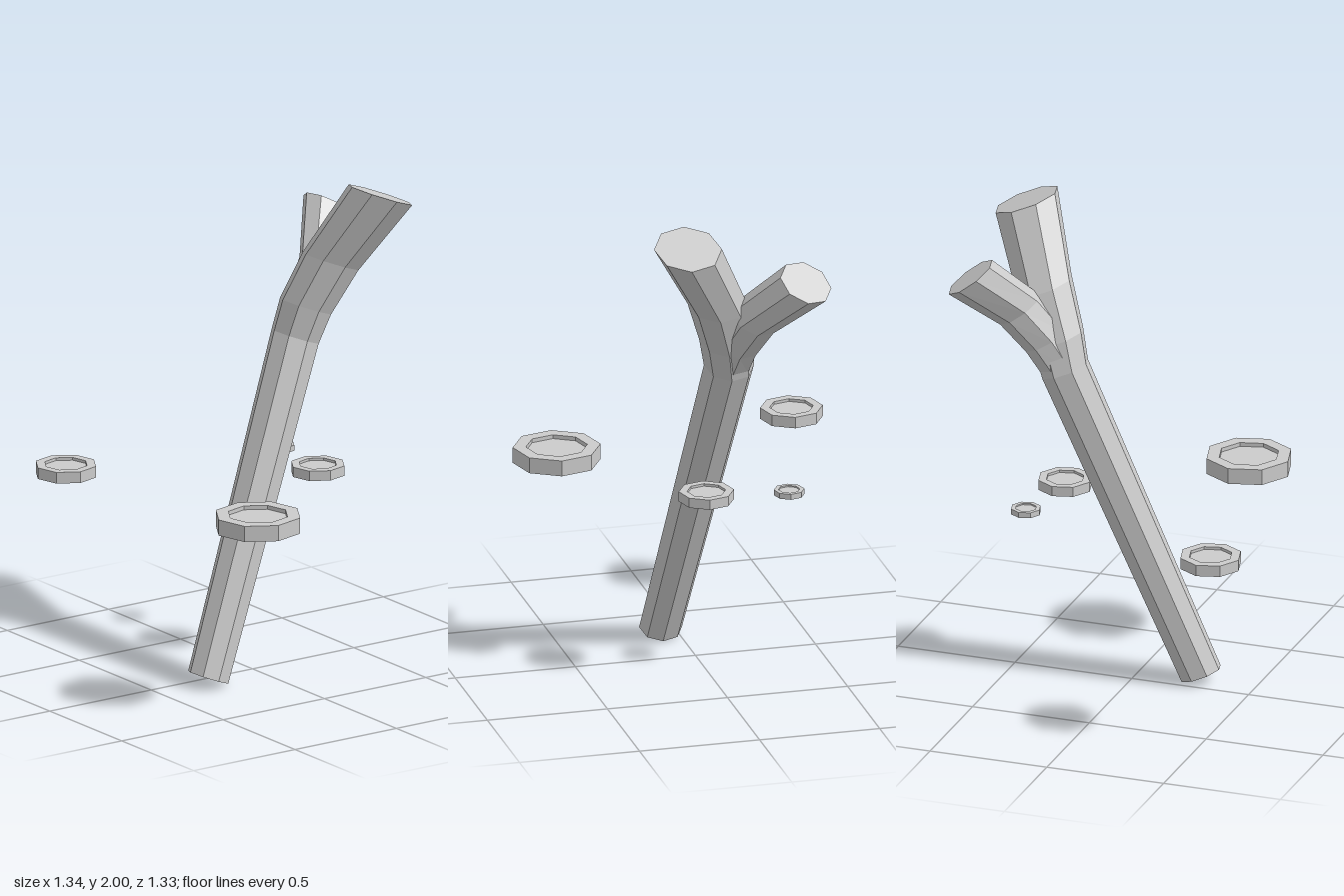
import * as THREE from 'three';

const SIDES = 8;
const TURN = THREE.MathUtils.degToRad(7);
const material = new THREE.MeshStandardMaterial({ color: 0xcccccc, flatShading: true });

// Closed octagonal loft. Each ring: [x, y, z, radius, slopeX, slopeZ];
// slopes are how fast the ring's plane rises along x and z.
function loft(rings, name) {
  const pos = [];
  const index = [];
  for (const [x, y, z, r, sx, sz] of rings) {
    for (let i = 0; i < SIDES; i++) {
      const a = TURN + (i / SIDES) * Math.PI * 2;
      const dx = (r * Math.cos(a)) / Math.hypot(1, sx);
      const dz = (r * Math.sin(a)) / Math.hypot(1, sz);
      pos.push(x + dx, y + sx * dx + sz * dz, z + dz);
    }
  }
  const last = (rings.length - 1) * SIDES;
  const bottom = rings.length * SIDES;
  pos.push(...rings[0].slice(0, 3), ...rings[rings.length - 1].slice(0, 3));
  for (let i = 0; i < SIDES; i++) {
    const j = (i + 1) % SIDES;
    for (let k = 0; k < last; k += SIDES) {
      const u = k + SIDES;
      index.push(k + i, u + i, u + j, k + i, u + j, k + j);
    }
    index.push(bottom, i, j, bottom + 1, last + j, last + i);
  }
  const geo = new THREE.BufferGeometry();
  geo.setAttribute('position', new THREE.Float32BufferAttribute(pos, 3));
  geo.setIndex(index);
  geo.computeVertexNormals();
  const mesh = new THREE.Mesh(geo, material);
  mesh.name = name;
  return mesh;
}

// Octagonal disc with a shallow sunken centre on top
function disc(x, z, r, name) {
  const h = r * 0.185;
  const inner = r * 0.7;
  const profile = [[0, -h], [r, -h], [r, h], [inner, h], [inner, h * 0.5], [0, h * 0.5]]
    .map(([px, py]) => new THREE.Vector2(px, py));
  const mesh = new THREE.Mesh(new THREE.LatheGeometry(profile, SIDES), material);
  mesh.position.set(x, 0.803, z);
  mesh.rotation.y = -THREE.MathUtils.degToRad(8);
  mesh.name = name;
  return mesh;
}

export function createModel() {
  const group = new THREE.Group();
  group.name = 'leaningTrunkWithDiscs';

  // Leaning trunk that bends and widens towards its cut top
  const s = 0.39;
  group.add(loft([
    [0.073, 0.035, 0.27, 0.087, 0, s],
    [-0.07, 1.34, -0.26, 0.102, 0, s],
    [-0.05, 1.465, -0.297, 0.111, 0, s],
    [0.01, 1.655, -0.378, 0.121, 0, s],
    [0.168, 1.95, -0.512, 0.138, 0, s],
  ], 'trunk'));

  // Side branch growing back and to the right
  group.add(loft([
    [-0.07, 1.36, -0.27, 0.095, 0.03, 0.42],
    [-0.085, 1.465, -0.335, 0.095, 0.1, 0.55],
    [-0.135, 1.6, -0.43, 0.096, 0.18, 0.66],
    [-0.305, 1.785, -0.58, 0.106, 0.2, 0.68],
  ], 'branch'));

  // Discs floating around the trunk
  group.add(
    disc(0.492, 0.322, 0.178, 'largeDisc'),
    disc(-0.543, 0.535, 0.127, 'mediumDisc'),
    disc(0.034, -0.298, 0.112, 'backDisc'),
    disc(-0.298, -0.345, 0.062, 'smallDisc'),
  );
  return group;
}
